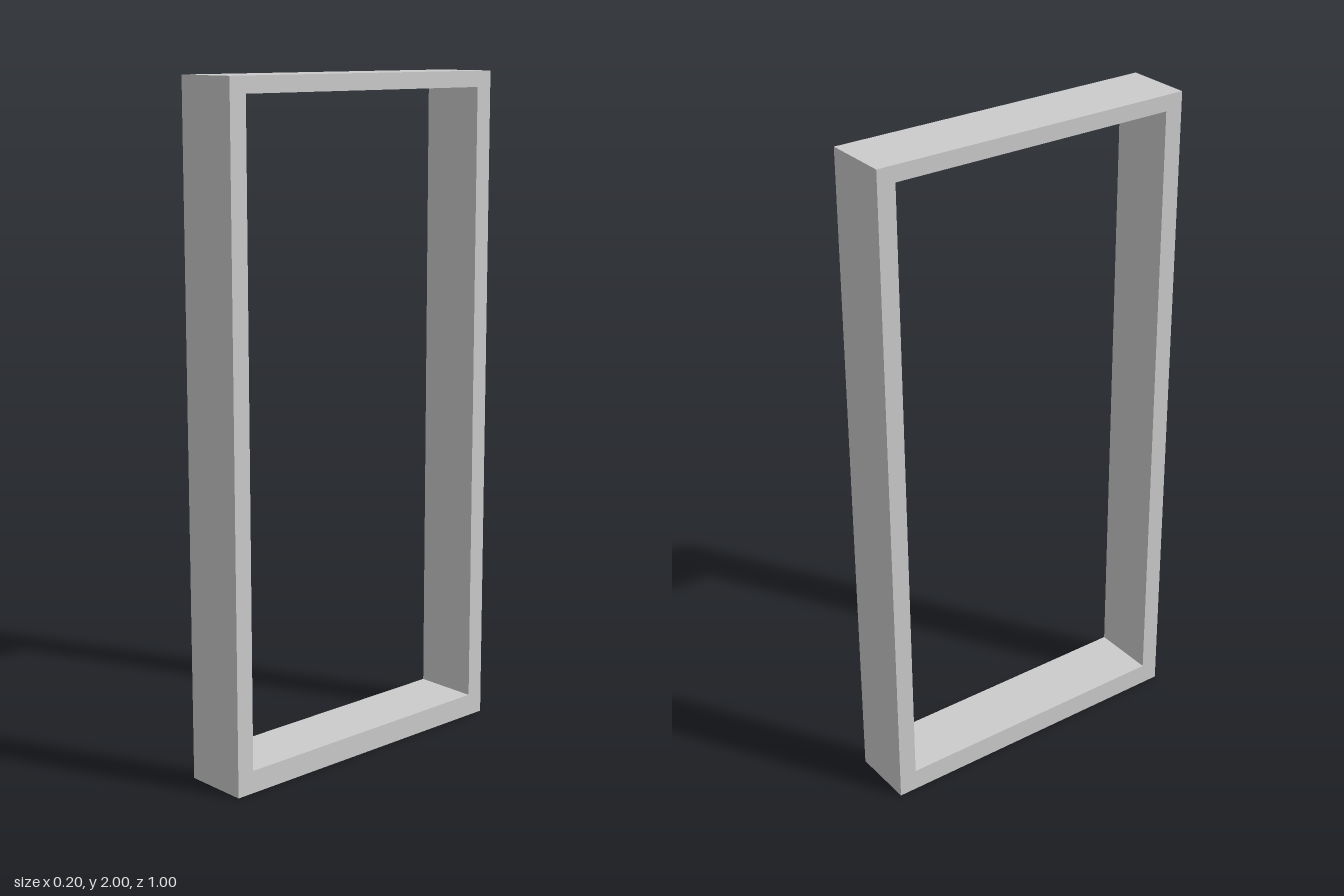
import * as THREE from 'three';

const HEIGHT = 2, WIDTH = 1, DEPTH = 0.2;
const SIDE = 0.055, TOP = 0.047, BOTTOM = 0.067; // wall thicknesses

// Traces a rectangle onto a Shape or Path
function rect(path, x0, y0, x1, y1) {
  path.moveTo(x0, y0);
  path.lineTo(x1, y0);
  path.lineTo(x1, y1);
  path.lineTo(x0, y1);
  path.closePath();
  return path;
}

export function createModel() {
  const group = new THREE.Group();
  group.name = 'openFrame';

  // Rectangular frame: outer outline with the opening cut out
  const half = WIDTH / 2;
  const outline = rect(new THREE.Shape(), -half, 0, half, HEIGHT);
  outline.holes.push(rect(new THREE.Path(), -half + SIDE, BOTTOM, half - SIDE, HEIGHT - TOP));

  // Extruded through its depth, then turned so the opening faces along x
  const geometry = new THREE.ExtrudeGeometry(outline, { depth: DEPTH, bevelEnabled: false });
  geometry.translate(0, 0, -DEPTH / 2);
  geometry.rotateY(Math.PI / 2);

  const frame = new THREE.Mesh(geometry, new THREE.MeshStandardMaterial({ color: 0xcccccc }));
  frame.name = 'frame';
  group.add(frame);
  return group;
}
